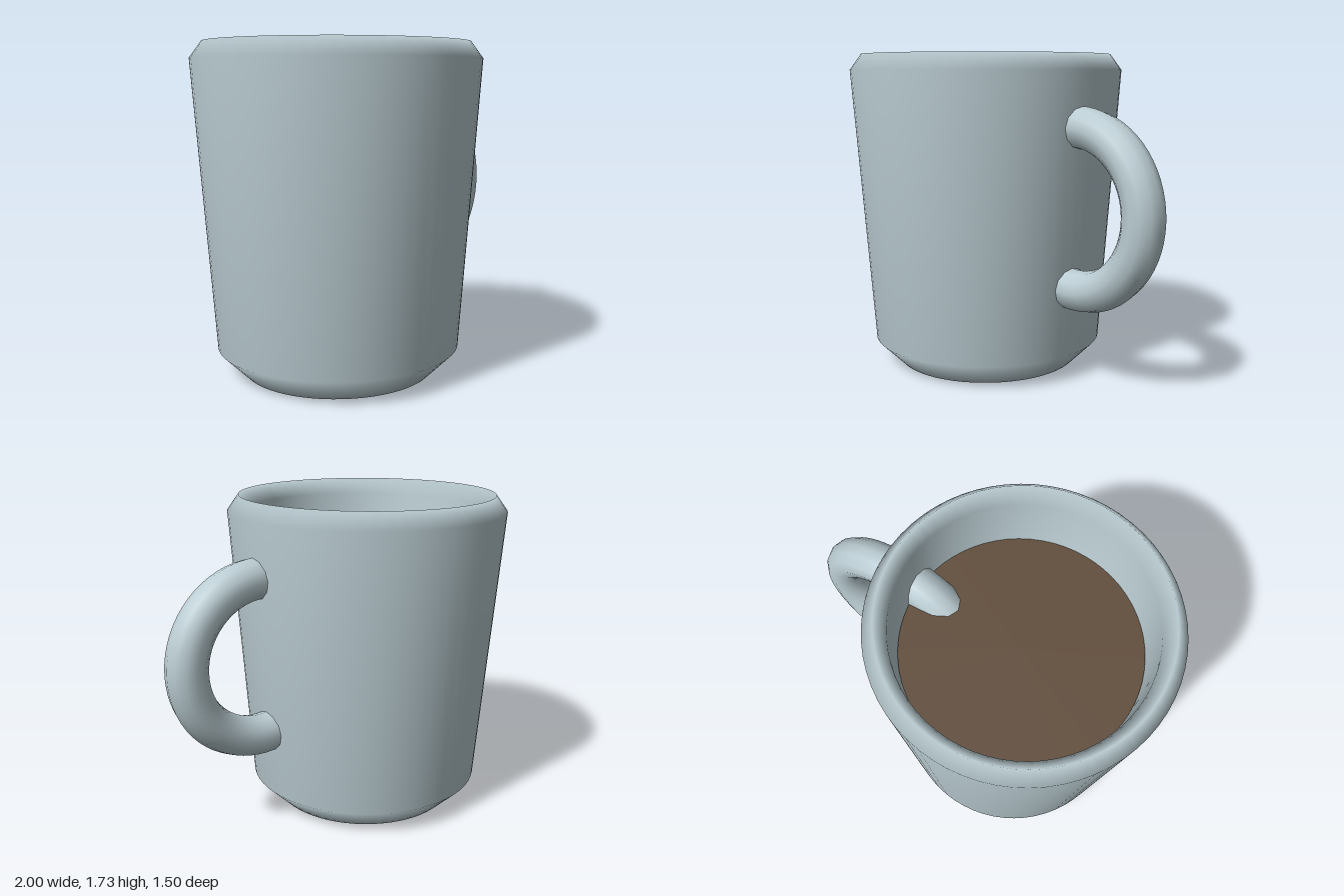
import * as THREE from 'three';

export function createModel() {
  const group = new THREE.Group();
  const ceramic = new THREE.MeshStandardMaterial({ color: 0xbaccd2 });
  ceramic.name = 'pale blue ceramic';
  const brown = new THREE.MeshStandardMaterial({ color: 0x624e3d });
  brown.name = 'coffee brown';

  const add = (name, geometry, material, x, y) => {
    const mesh = new THREE.Mesh(geometry, material);
    mesh.name = name;
    mesh.position.set(x, y, 0);
    group.add(mesh);
    return mesh;
  };

  const cupX = -0.247;

  // Cup: base, outer wall, bevelled rim, then inner wall and floor
  const profile = [
    [0, 0], [0.51, 0], [0.645, 0.135], [0.752, 1.645], [0.69, 1.73],
    [0.635, 1.645], [0.54, 0.22], [0, 0.16],
  ].map(([r, y]) => new THREE.Vector2(r, y));
  add('cup', new THREE.LatheGeometry(profile, 64), ceramic, cupX, 0);

  // Drink surface, just inside the wall
  const drink = add('drink', new THREE.CircleGeometry(0.612, 64), brown, cupX, 1.34);
  drink.rotation.x = -Math.PI / 2;

  // Ring handle that passes through the wall
  add('handle', new THREE.TorusGeometry(0.422, 0.108, 12, 64), ceramic, 0.47, 0.935);

  return group;
}
